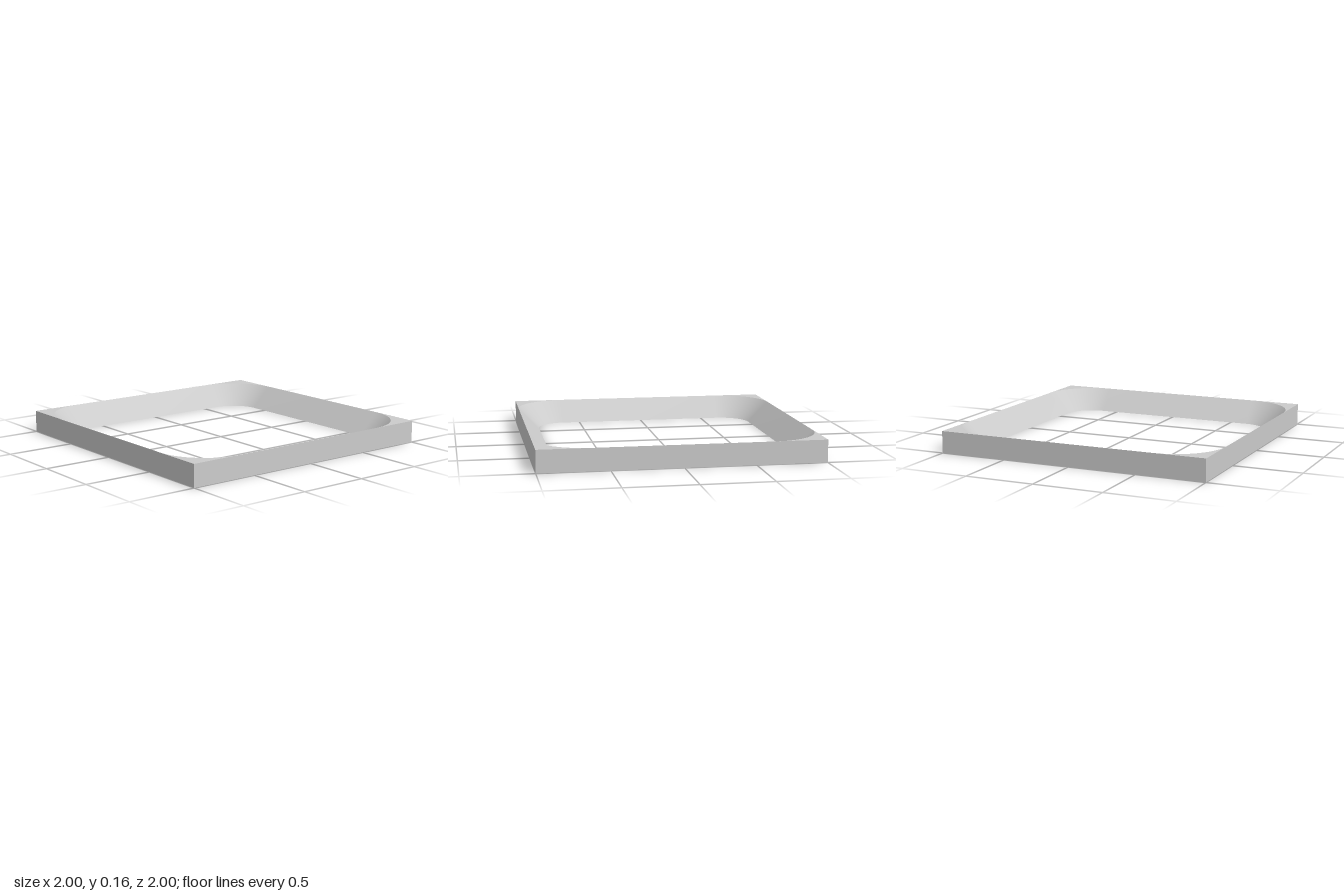
import * as THREE from 'three';
import { toCreasedNormals } from 'three/addons/utils/BufferGeometryUtils.js';

const HEIGHT = 0.16;
const CENTRE = 0.625; // centre of the corner arcs, shared by both rims
const STEPS = 24; // segments per rounded corner

// Closed loop at height y; each corner is an arc, or a sharp corner of the square
function ring(y, half, sharp) {
  const points = [];
  const radius = half - CENTRE;
  for (let corner = 0; corner < 4; corner++) {
    const turn = (corner * Math.PI) / 2;
    for (let i = 0; i <= STEPS; i++) {
      const a = ((i / STEPS) * Math.PI) / 2;
      let u = CENTRE + radius * Math.cos(a);
      let v = CENTRE + radius * Math.sin(a);
      if (sharp) {
        u = i === STEPS ? CENTRE : half;
        v = i === 0 ? CENTRE : half;
      }
      const c = Math.round(Math.cos(turn)), s = Math.round(Math.sin(turn));
      points.push(new THREE.Vector3(u * c - v * s, y, u * s + v * c));
    }
  }
  return points;
}

// Joins successive loops with faces, leaving out the ones with no area
function loft(rings) {
  const positions = [];
  const triangle = new THREE.Triangle();
  const add = (a, b, c) => {
    if (triangle.set(a, b, c).getArea() < 1e-7) return;
    for (const p of [a, b, c]) positions.push(p.x, p.y, p.z);
  };
  for (let r = 0; r < rings.length - 1; r++) {
    const low = rings[r], high = rings[r + 1];
    for (let i = 0; i < low.length; i++) {
      const j = (i + 1) % low.length;
      add(low[i], high[i], low[j]);
      add(low[j], high[i], high[j]);
    }
  }
  const geometry = new THREE.BufferGeometry();
  geometry.setAttribute('position', new THREE.Float32BufferAttribute(positions, 3));
  return toCreasedNormals(geometry, 0.5);
}

export function createModel() {
  const group = new THREE.Group();
  group.name = 'squareFrame';

  // Square outside, flared opening that reaches the outer edges at the top
  const outerBottom = ring(0, 1, true);
  const frame = new THREE.Mesh(
    loft([
      outerBottom,
      ring(HEIGHT, 1, true),
      ring(HEIGHT, 1, false),
      ring(0, 0.845, false),
      outerBottom,
    ]),
    new THREE.MeshStandardMaterial({ color: 0xcccccc })
  );
  frame.name = 'flaredFrame';
  group.add(frame);
  return group;
}
